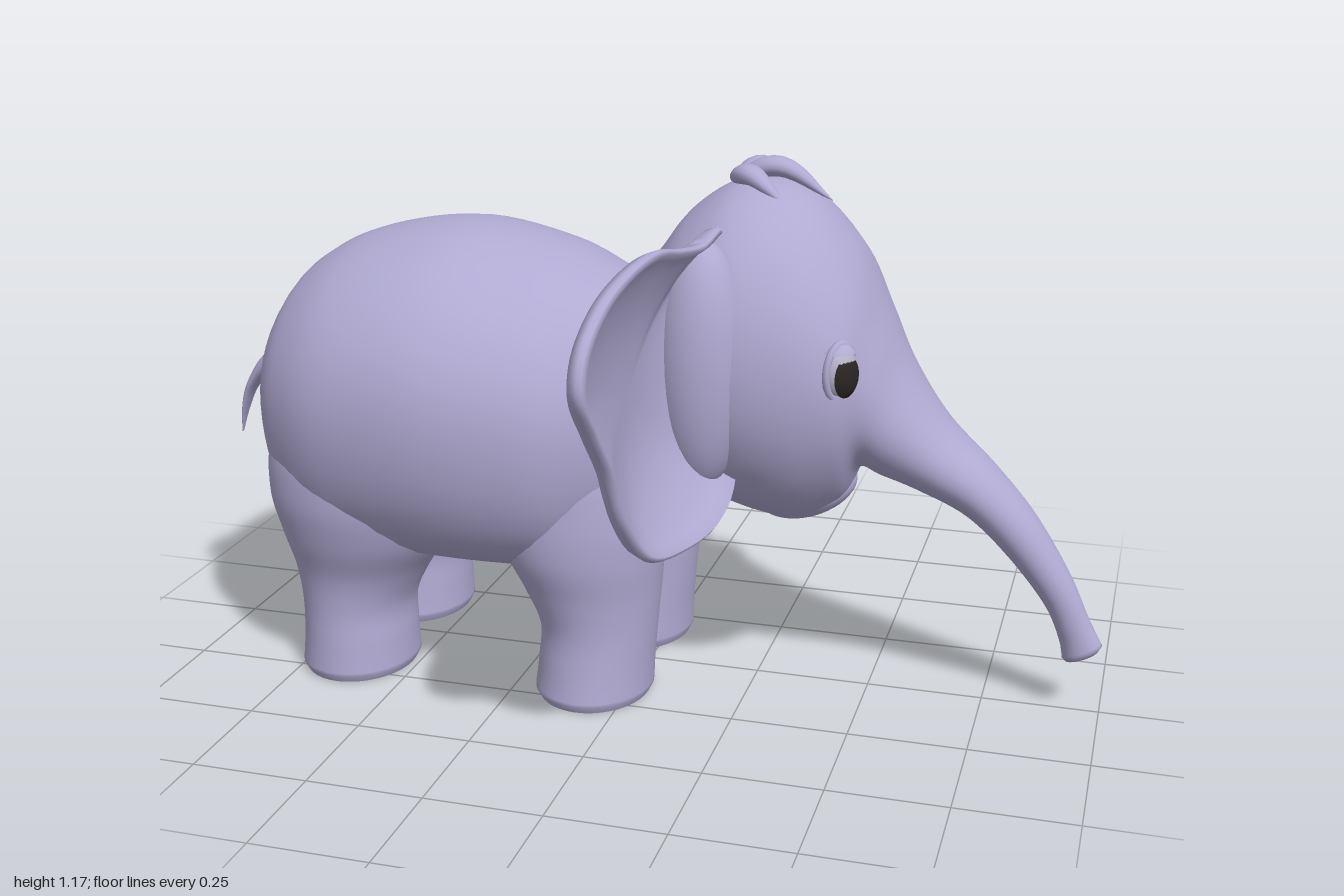
import * as THREE from 'three';

const V = (x, y, z) => new THREE.Vector3(x, y, z);
const mat = (name, color) => Object.assign(new THREE.MeshStandardMaterial({ color }), { name });
const SIDES = 40;

// Skins a list of equal-sized closed rings, with a flat cap on both ends.
function loft(rings) {
  const n = rings[0].length, pos = [], idx = [];
  rings.forEach(r => r.forEach(p => pos.push(p.x, p.y, p.z)));
  for (let i = 0; i < rings.length - 1; i++) for (let j = 0; j < n; j++) {
    const a = i * n + j, b = i * n + (j + 1) % n;
    idx.push(a, b, a + n, b, b + n, a + n);
  }
  [rings[0], rings[rings.length - 1]].forEach((r, end) => {
    const s = pos.length / 3, c = V(0, 0, 0);
    r.forEach(p => { c.addScaledVector(p, 1 / n); pos.push(p.x, p.y, p.z); });
    pos.push(c.x, c.y, c.z);
    for (let j = 0; j < n; j++) {
      const k = (j + 1) % n;
      idx.push(...(end ? [s + j, s + k, s + n] : [s + k, s + j, s + n]));
    }
  });
  // Turn the faces outward by the sign of the enclosed volume
  let vol = 0;
  const at = i => V(pos[3 * i], pos[3 * i + 1], pos[3 * i + 2]);
  for (let i = 0; i < idx.length; i += 3) vol += at(idx[i]).dot(at(idx[i + 1]).cross(at(idx[i + 2])));
  if (vol < 0) idx.reverse();
  const g = new THREE.BufferGeometry();
  g.setAttribute('position', new THREE.Float32BufferAttribute(pos, 3));
  g.setIndex(idx);
  g.computeVertexNormals();
  return g;
}

// Smoothly interpolates rows of numbers.
function smoothRows(rows, steps = 6) {
  const out = [], last = rows.length - 1;
  for (let i = 0; i < last; i++) for (let s = 0; s < steps; s++) {
    const t = s / steps, a = rows[Math.max(i - 1, 0)], b = rows[i], c = rows[i + 1], d = rows[Math.min(i + 2, last)];
    out.push(b.map((v, k) => {
      const cubic = 3 * (v - c[k]) + d[k] - a[k];
      const square = 2 * a[k] - 5 * v + 4 * c[k] - d[k];
      return v + 0.5 * t * (c[k] - a[k] + t * (square + t * cubic));
    }));
  }
  out.push(rows[last]);
  return out;
}

// Oval ring given by its top point, bottom point and half width; low makes the underside fuller.
function ovalRing([tx, ty, bx, by, w], low = 1) {
  return Array.from({ length: SIDES }, (_, j) => {
    const a = j / SIDES * Math.PI * 2, c = Math.cos(a), s = Math.sin(a);
    const side = c < 0 ? Math.sign(s) * Math.abs(s) ** low : s;
    return V((tx + bx) / 2 + c * (tx - bx) / 2, (ty + by) / 2 + c * (ty - by) / 2, side * w);
  });
}

// Level leg ring given by y, x range and z range.
function legRing([y, x0, x1, z0, z1], side) {
  return Array.from({ length: SIDES }, (_, j) => {
    const a = j / SIDES * Math.PI * 2;
    return V((x0 + x1) / 2 + Math.cos(a) * (x1 - x0) / 2, y, side * ((z0 + z1) / 2 + Math.sin(a) * (z1 - z0) / 2));
  });
}

export function createModel() {
  const model = new THREE.Group();
  model.name = 'elephant';
  const skin = mat('lavender skin', 0xb0aad2);
  const eyeGrey = mat('pale eye', 0xb6b2c8);
  const pupilDark = mat('dark pupil', 0x2a2523);
  const add = (name, geo, material = skin, parent = model) => {
    const m = new THREE.Mesh(geo, material);
    m.name = name;
    parent.add(m);
    return m;
  };

  // Barrel body, rump to chest
  add('body', loft(smoothRows([
    [-0.885, 0.66, -0.87, 0.56, 0.04], [-0.86, 0.74, -0.85, 0.48, 0.15], [-0.82, 0.82, -0.815, 0.39, 0.245],
    [-0.75, 0.9, -0.75, 0.32, 0.325], [-0.62, 0.965, -0.62, 0.28, 0.395], [-0.41, 0.998, -0.4, 0.268, 0.42],
    [-0.2, 0.96, -0.2, 0.265, 0.385], [-0.08, 0.91, -0.08, 0.29, 0.33], [0.02, 0.88, 0.02, 0.34, 0.27],
    [0.07, 0.82, 0.075, 0.39, 0.2], [0.1, 0.7, 0.095, 0.46, 0.08],
  ]).map(r => ovalRing(r, 0.57))));

  // Head flowing into the trunk, with a hollow tip
  const headRows = smoothRows([
    [-0.1, 0.88, -0.03, 0.48, 0.19], [-0.03, 0.91, 0.04, 0.47, 0.22], [0.03, 0.965, 0.1, 0.455, 0.25],
    [0.1, 1.055, 0.17, 0.43, 0.285], [0.21, 1.12, 0.27, 0.402, 0.305], [0.34, 1.1, 0.365, 0.395, 0.29],
    [0.45, 0.99, 0.44, 0.45, 0.255], [0.515, 0.86, 0.475, 0.52, 0.205], [0.57, 0.745, 0.52, 0.505, 0.163],
    [0.65, 0.63, 0.6, 0.475, 0.12], [0.75, 0.535, 0.7, 0.425, 0.087], [0.84, 0.435, 0.79, 0.34, 0.064],
    [0.92, 0.31, 0.87, 0.24, 0.044], [0.965, 0.215, 0.905, 0.165, 0.034], [0.997, 0.155, 0.915, 0.12, 0.033],
  ]);
  headRows.push([0.99, 0.142, 0.922, 0.113, 0.028], [0.975, 0.145, 0.925, 0.122, 0.02], [0.955, 0.18, 0.92, 0.16, 0.015]);
  add('headAndTrunk', loft(headRows.map(r => ovalRing(r))));

  // Lower lip under the trunk
  const lip = add('lowerLip', new THREE.SphereGeometry(1, 32, 20));
  lip.scale.set(0.11, 0.058, 0.135);
  lip.position.set(0.352, 0.453, 0);
  lip.rotation.z = 0.25;

  // Tail
  add('tail', loft(smoothRows([
    [-0.81, 0.82, -0.83, 0.5, 0.14], [-0.865, 0.735, -0.87, 0.575, 0.085], [-0.905, 0.675, -0.905, 0.597, 0.05],
    [-0.945, 0.63, -0.93, 0.59, 0.037], [-0.978, 0.57, -0.96, 0.56, 0.028], [-0.993, 0.51, -0.983, 0.51, 0.018],
    [-1, 0.455, -0.998, 0.455, 0.003],
  ]).map(r => ovalRing(r))));

  // Hair tufts on the crown: root, middle, tip
  [[[0.18, 1.12, 0], [0.28, 1.145, 0], [0.39, 1.08, 0]],
    [[0.18, 1.115, 0.01], [0.23, 1.135, 0.06], [0.31, 1.085, 0.1]],
    [[0.18, 1.115, -0.01], [0.23, 1.135, -0.06], [0.31, 1.085, -0.085]],
  ].forEach(pts => {
    const path = new THREE.CatmullRomCurve3(pts.map(p => V(...p)));
    const rings = Array.from({ length: 13 }, (_, i) => {
      const t = i / 12, c = path.getPoint(t), dir = path.getTangent(t);
      const across = V(-dir.z, 0, dir.x).normalize(), up = across.clone().cross(dir);
      const r = 0.001 + 0.028 * Math.sin(Math.PI * t ** 0.8);
      return Array.from({ length: 14 }, (_, j) => {
        const a = j / 14 * Math.PI * 2;
        return c.clone().addScaledVector(across, r * Math.cos(a)).addScaledVector(up, r * 0.75 * Math.sin(a));
      });
    });
    add('hairTuft', loft(rings));
  });

  // Ear outline as z, y and the x of the rim
  const earOutline = new THREE.CatmullRomCurve3([
    [0.14, 1.04, 0.2], [0.27, 1.032, 0.185], [0.38, 1.045, 0.17], [0.5, 1.066, 0.158], [0.62, 1.055, 0.142],
    [0.74, 1.015, 0.125], [0.83, 0.945, 0.116], [0.848, 0.875, 0.116], [0.79, 0.785, 0.122], [0.73, 0.695, 0.133],
    [0.69, 0.585, 0.148], [0.61, 0.49, 0.17], [0.48, 0.46, 0.2], [0.34, 0.472, 0.235], [0.22, 0.53, 0.24],
    [0.16, 0.76, 0.21],
  ].map(p => V(...p)), true).getPoints(80).slice(0, 80);
  // Dished front, rounded rim, bulging back: [scale, blend to rim, centre x, rim offset]
  const earRows = [];
  for (let i = 0; i <= 9; i++) { const f = 0.02 + i * 0.1; earRows.push([f, f ** 2.6, 0.1, 0.01]); }
  earRows.push([0.965, 1, 0, 0.008], [0.99, 1, 0, 0.003], [1, 1, 0, -0.006], [0.99, 1, 0, -0.014]);
  for (let i = 9; i >= 0; i--) { const f = 0.02 + i * 0.105; earRows.push([f, f ** 2.4, 0.055, -0.023]); }

  // Leg rings from the foot up into the body
  const rearLeg = [[0.015, -0.765, -0.508, 0.018, 0.322], [0.08, -0.76, -0.51, 0.025, 0.315],
    [0.16, -0.762, -0.508, 0.03, 0.308], [0.24, -0.775, -0.47, 0.03, 0.315], [0.33, -0.797, -0.41, 0.03, 0.345],
    [0.43, -0.815, -0.38, 0.04, 0.362], [0.55, -0.8, -0.4, 0.06, 0.345], [0.7, -0.72, -0.46, 0.1, 0.26]];
  const frontLeg = [[0.015, -0.207, 0.05, 0.018, 0.322], [0.08, -0.2, 0.053, 0.025, 0.31],
    [0.16, -0.198, 0.06, 0.03, 0.3], [0.24, -0.235, 0.068, 0.025, 0.306], [0.33, -0.28, 0.077, 0.02, 0.322],
    [0.43, -0.29, 0.085, 0.02, 0.318], [0.55, -0.27, 0.075, 0.03, 0.29], [0.7, -0.2, 0.02, 0.05, 0.2]];

  for (const side of [1, -1]) {
    const label = side > 0 ? 'right' : 'left';

    // Legs with slightly rounded soles
    [['RearLeg', rearLeg], ['FrontLeg', frontLeg]].forEach(([name, rows]) => {
      const [, a, b, c, d] = rows[0], e = 0.008;
      const sole = [0, a + e, b - e, c + e, d - e];
      add(label + name, loft([sole, ...smoothRows(rows)].map(r => legRing(r, side))));
    });

    // Ear, and the swelling where it joins the head
    add(label + 'Ear', loft(earRows.map(([f, k, cx, off]) => earOutline.map(p => V(
      THREE.MathUtils.lerp(cx, p.z + off, k),
      THREE.MathUtils.lerp(0.79, p.y, f),
      side * THREE.MathUtils.lerp(0.5, p.x, f),
    )))));
    const root = add(label + 'EarRoot', new THREE.SphereGeometry(1, 28, 20));
    root.scale.set(0.1, 0.26, 0.1);
    root.position.set(0.175, 0.775, side * 0.24);

    // Eye: pale ball, dark pupil cap and skin lids, facing outward and ahead
    const eye = new THREE.Group();
    eye.name = label + 'Eye';
    eye.position.set(0.452, 0.778, side * 0.222);
    eye.rotation.y = Math.PI / 2 - side * 0.55;
    model.add(eye);
    const ball = add('eyeball', new THREE.SphereGeometry(0.05, 24, 16), eyeGrey, eye);
    ball.scale.set(0.87, 1.1, 0.7);
    const pupilCap = new THREE.SphereGeometry(0.052, 24, 8, 0, Math.PI * 2, 0, 0.9).rotateX(Math.PI / 2);
    const pupil = add('pupil', pupilCap, pupilDark, eye);
    pupil.scale.set(0.89, 1.05, 0.73);
    pupil.position.y = -0.006;
    const rim = add('eyeRim', new THREE.TorusGeometry(0.046, 0.008, 10, 32), skin, eye);
    rim.scale.set(0.92, 1.25, 1);
    rim.position.z = 0.006;
    const lid = add('upperLid', new THREE.SphereGeometry(0.056, 24, 10, 0, Math.PI * 2, 0, 0.85), skin, eye);
    lid.scale.set(0.85, 1.12, 0.78);
  }
  return model;
}
